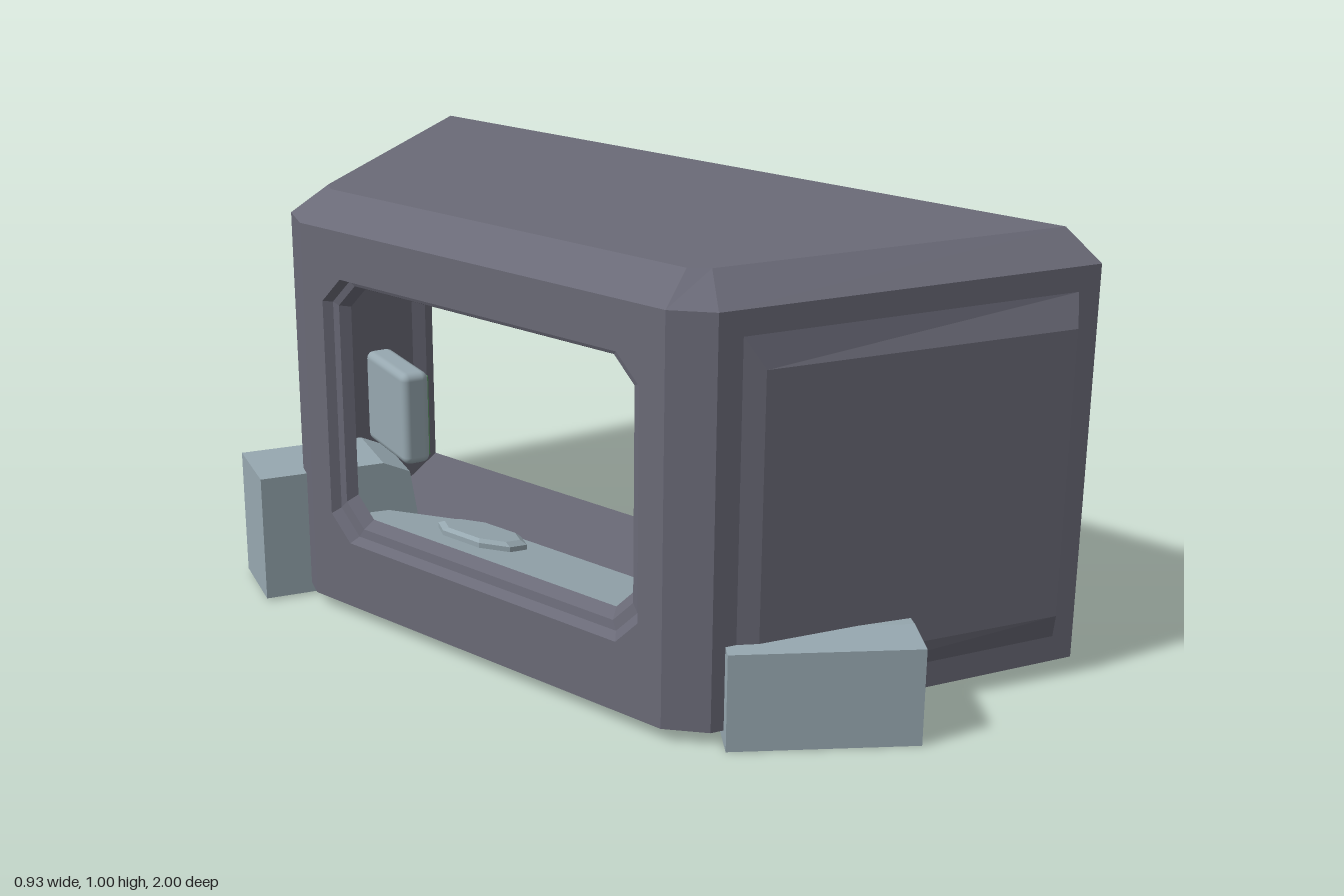
import * as THREE from 'three';
import { toCreasedNormals } from 'three/addons/utils/BufferGeometryUtils.js';
import { RoundedBoxGeometry } from 'three/addons/geometries/RoundedBoxGeometry.js';

const hull = new THREE.MeshStandardMaterial({ name: 'hull grey', color: 0x6a6a77, side: THREE.DoubleSide });
const steel = new THREE.MeshStandardMaterial({ name: 'pale steel', color: 0x97a8b0 });
const green = new THREE.MeshStandardMaterial({ name: 'screen green', color: 0x5f9468 });
const red = new THREE.MeshStandardMaterial({ name: 'lamp red', color: 0xd80a30 });

// Flat-faced surface through a stack of point rings, with optional end caps
function loft(rings, { closed = true, bottom = false, top = false } = {}) {
  const pos = [];
  const tri = (a, b, c) => {
    const [A, B, C] = [a, b, c].map((p) => new THREE.Vector3(...p));
    if (B.sub(A).cross(C.sub(A)).length() > 1e-8) pos.push(...a, ...b, ...c);
  };
  for (let r = 0; r + 1 < rings.length; r++) {
    const lo = rings[r], hi = rings[r + 1], n = lo.length;
    for (let i = 0; i < (closed ? n : n - 1); i++) {
      const j = (i + 1) % n;
      tri(lo[i], lo[j], hi[j]);
      tri(lo[i], hi[j], hi[i]);
    }
  }
  const first = rings[0], last = rings[rings.length - 1];
  for (let i = 1; i + 1 < first.length; i++) {
    if (bottom) tri(first[0], first[i + 1], first[i]);
    if (top) tri(last[0], last[i], last[i + 1]);
  }
  const g = new THREE.BufferGeometry();
  g.setAttribute('position', new THREE.Float32BufferAttribute(pos, 3));
  g.computeVertexNormals();
  return g;
}

function add(parent, name, geometry, material) {
  const m = new THREE.Mesh(geometry, material);
  m.name = name;
  parent.add(m);
  return m;
}

const FLOOR = 0.03, EAVE = 0.935, ROOF = 1;
const mirrorZ = (pts) => [...pts, ...[...pts].reverse().map(([x, z]) => [x, -z])];
const atHeight = (pts, y) => pts.map(([x, z]) => [x, y, z]);

function buildShell() {
  const shell = new THREE.Group();
  shell.name = 'cabinShell';
  const base = mirrorZ([[0.463, -1], [-0.35, -0.62], [-0.403, -0.53]]);
  const roof = mirrorZ([[0.463, -0.91], [-0.29, -0.555], [-0.32, -0.515]]);

  add(shell, 'floor', loft([atHeight(base, FLOOR)], { top: true }), hull);
  add(shell, 'roof', loft([atHeight(base, EAVE), atHeight(roof, ROOF)], { closed: false, top: true }), hull);

  for (const s of [-1, 1]) {
    const side = s < 0 ? 'right' : 'left';
    const corner = [[-0.35, s * 0.62], [-0.403, s * 0.53]];
    add(shell, side + 'CornerWall', loft([atHeight(corner, FLOOR), atHeight(corner, EAVE)], { closed: false }), hull);

    // Side wall with a pressed-out bevelled panel that deepens toward the open end
    const wallZ = (x) => 0.62 + (x + 0.35) * (0.38 / 0.813);
    const rect = (x0, x1, y0, y1, d0 = 0, d1 = 0) => [
      [x0, y0, s * (wallZ(x0) + d0)], [x1, y0, s * (wallZ(x1) + d1)],
      [x1, y1, s * (wallZ(x1) + d1)], [x0, y1, s * (wallZ(x0) + d0)]];
    add(shell, side + 'Wall', loft([
      rect(-0.35, 0.463, FLOOR, EAVE),
      rect(-0.3, 0.415, 0.09, 0.88),
      rect(-0.265, 0.385, 0.155, 0.81, 0.016, 0.035),
    ], { top: true }), hull);
  }

  // Window wall: chamfered opening with a stepped, recessed frame
  const opening = (x, w, y0, y1, c) => [
    [x, y0, -w + c], [x, y0, w - c], [x, y0 + c, w], [x, y1 - c, w],
    [x, y1, w - c], [x, y1, -w + c], [x, y1 - c, -w], [x, y0 + c, -w]];
  const X = -0.403;
  add(shell, 'windowWall', loft([
    opening(X, 0.53, FLOOR, EAVE, 0),
    opening(X, 0.465, 0.19, 0.825, 0.06),
    opening(X + 0.018, 0.45, 0.205, 0.82, 0.058),
    opening(X + 0.022, 0.435, 0.225, 0.81, 0.055),
    opening(X + 0.045, 0.42, 0.245, 0.8, 0.05),
  ]), hull);
  return shell;
}

function buildConsole() {
  const desk = new THREE.Group();
  desk.name = 'windowConsole';
  const plan = [[-0.12, 0.29], [-0.12, -0.29], [-0.24, -0.445], [-0.362, -0.445], [-0.362, 0.445], [-0.24, 0.445]];
  const slope = (x) => 0.19 + (-0.12 - x) * 0.2;
  add(desk, 'consoleBase', loft([atHeight(plan, 0.015)], { bottom: true }), steel);
  add(desk, 'consoleSides', loft([atHeight(plan, 0.015), atHeight(plan, 0.182)]), hull);
  add(desk, 'consoleTop', loft([atHeight(plan, 0.182), plan.map(([x, z]) => [x, slope(x), z])], { top: true }), steel);

  // Raised control pad following the slope of the top
  const pad = (k, lift) => [[1, 0.5], [1, -0.5], [0.4, -1], [-0.4, -1], [-1, -0.5], [-1, 0.5], [-0.4, 1], [0.4, 1]]
    .map(([u, v]) => {
      const x = -0.21 + u * 0.07 * k;
      return [x, slope(x) + lift, -0.165 + v * 0.115 * k];
    });
  add(desk, 'controlPad', loft([pad(1, 0), pad(1, 0.012), pad(0.85, 0.02)], { top: true }), steel);
  return desk;
}

function buildCabinets(parent) {
  // Square cabinet set diagonally, its top sloping down toward the room
  const plan = [[-0.263, 0.573], [-0.35, 0.66], [-0.06, 0.95], [0.027, 0.863], [0.23, 0.66], [-0.06, 0.37]];
  const heights = [0.22, 0.22, 0.22, 0.22, 0.187, 0.187];
  add(parent, 'leftCabinet', loft([
    atHeight(plan, 0), plan.map(([x, z], i) => [x, heights[i], z]),
  ], { top: true }), steel);

  // Narrow taller cabinet with a chamfered inner end
  const profile = new THREE.Shape([[0, 0.005], [0.383, 0.005], [0.383, 0.16], [0.365, 0.28], [0.3, 0.31], [0, 0.31]]
    .map(([x, y]) => new THREE.Vector2(x, y)));
  const cabinet = add(parent, 'rightCabinet',
    new THREE.ExtrudeGeometry(profile, { depth: 0.197, bevelEnabled: false }), steel);
  cabinet.position.set(-0.38, 0, -0.81);
  cabinet.rotation.y = -0.475;
}

// Monitor facing local +z, turned toward the room
function buildMonitor(name, x, y, z, height, turn) {
  const g = new THREE.Group();
  g.name = name;
  add(g, 'monitorCase', new RoundedBoxGeometry(0.23, height, 0.068, 2, 0.018), steel);
  add(g, 'screen', new THREE.BoxGeometry(0.2, height - 0.03, 0.006), green).position.z = 0.034;
  g.position.set(x, y, z);
  g.rotation.y = turn;
  return g;
}

function buildLamps() {
  const lamps = new THREE.Group();
  lamps.name = 'warningLamps';
  const profile = [[0.047, 0], [0.047, 0.022], [0.034, 0.026], [0.034, 0.044], [0.02, 0.058], [0, 0.062]]
    .map(([r, h]) => new THREE.Vector2(r, h));
  const geometry = toCreasedNormals(new THREE.LatheGeometry(profile, 16), 0.6);
  for (const z of [0.32, 0.14, -0.067, -0.275]) {
    const lamp = add(lamps, 'warningLamp', geometry, red);
    lamp.position.set(-0.402, 0.88, z);
    lamp.rotation.z = -Math.PI / 2;
  }
  return lamps;
}

export function createModel() {
  const model = new THREE.Group();
  model.name = 'controlCabin';
  model.add(buildShell(), buildConsole(), buildLamps());
  buildCabinets(model);
  model.add(
    buildMonitor('leftMonitor', -0.24, 0.428, 0.49, 0.255, Math.PI / 2 + 0.89),
    buildMonitor('rightMonitor', -0.16, 0.447, -0.487, 0.225, Math.PI / 2 - 0.36),
  );
  return model;
}
